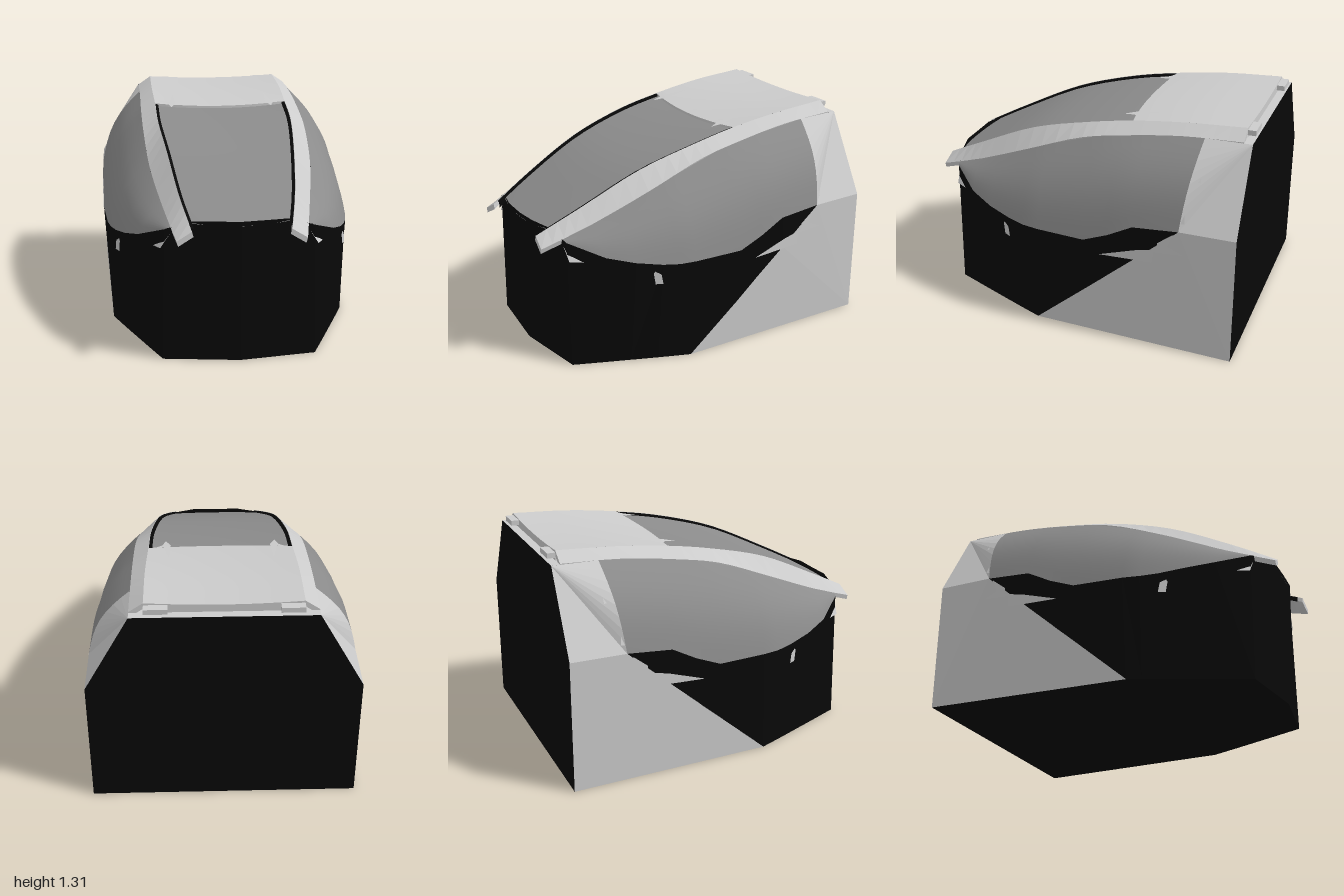
import * as THREE from 'three';

const V = (x, y, z) => new THREE.Vector3(x, y, z);
const material = (color, flat) => new THREE.MeshStandardMaterial({ color, flatShading: flat, side: THREE.DoubleSide });
const grey = material(0xcccccc, true);
const smoothGrey = material(0xcccccc, false);
const glass = material(0x8c8c8c, false);
const black = material(0x080808, true);

// Surface through equally long rows of points
function loft(rows) {
  const n = rows[0].length, index = [];
  for (let i = 0; i < rows.length - 1; i++)
    for (let j = 0; j < n - 1; j++) {
      const a = i * n + j, b = a + n;
      index.push(a, b, a + 1, b, b + 1, a + 1);
    }
  const g = new THREE.BufferGeometry().setFromPoints(rows.flat());
  g.setIndex(index);
  g.computeVertexNormals();
  return g;
}

// Fan of triangles from the first point
function fan(points) {
  const g = new THREE.BufferGeometry().setFromPoints(points);
  g.setIndex(points.slice(2).flatMap((_, i) => [0, i + 1, i + 2]));
  g.computeVertexNormals();
  return g;
}

// Point of a rail at a given z (z falls along the rail)
function atZ(curve, z) {
  let lo = 0, hi = 1;
  for (let i = 0; i < 30; i++) {
    const mid = (lo + hi) / 2;
    if (curve.getPoint(mid).z > z) lo = mid; else hi = mid;
  }
  return curve.getPoint(lo);
}

const curve = pts => new THREE.CatmullRomCurve3(pts.map(p => V(...p)));
const innerRail = curve([[0.275, 0.80, 0.99], [0.33, 0.93, 0.73], [0.38, 1.10, 0.36], [0.415, 1.20, 0],
  [0.42, 1.25, -0.27], [0.43, 1.29, -0.6], [0.43, 1.31, -0.95]]);
const outerRail = curve([[0.36, 0.75, 1], [0.415, 0.845, 0.73], [0.48, 1.00, 0.36], [0.505, 1.14, 0],
  [0.51, 1.195, -0.27], [0.51, 1.24, -0.6], [0.51, 1.255, -0.95]]);

// Hull: upper edge and lower edge, from the rear of the glass to the nose
const hullTop = [[0.77, 0.78, -0.67], [0.77, 0.76, -0.4], [0.767, 0.68, -0.25], [0.765, 0.62, -0.1],
  [0.74, 0.62, 0.2], [0.72, 0.62, 0.3], [0.69, 0.63, 0.4], [0.64, 0.66, 0.55], [0.565, 0.70, 0.7],
  [0.42, 0.78, 0.87], [0.28, 0.835, 0.91], [0.15, 0.84, 0.945], [0, 0.835, 0.95]].map(p => V(...p));
const hullBottom = [[0.762, 0.56, -0.42], [0.762, 0.56, -0.42], [0.75, 0.41, -0.25], [0.745, 0.28, -0.1],
  [0.72, 0, 0.22], [0.687, 0, 0.3], [0.645, 0, 0.4], [0.58, 0, 0.55], [0.515, 0, 0.7],
  [0.44, 0, 0.87], [0.29, 0, 0.89], [0.15, 0, 0.91], [0, 0, 0.93]].map(p => V(...p));

// Side glass: bulging sections from hull edge to pillar
function sideGlassRows() {
  return hullTop.slice(0, 10).map((a, i) => {
    const b = atZ(outerRail, i === 0 ? -0.73 : a.z + (i === 9 ? 0.01 : 0));
    const bulge = a.distanceTo(b) * 0.1;
    return Array.from({ length: 9 }, (_, j) => {
      const t = j / 8, s = Math.sin(t * Math.PI) * bulge;
      return a.clone().lerp(b, t).add(V(s * 0.87, s * 0.48, 0));
    });
  });
}

// Panel spanning the two inner rails, its front bowed forward
function spanRows(zFront, zBack, drop, rearBow) {
  return Array.from({ length: 13 }, (_, i) => {
    const k = i / 12, p = atZ(innerRail, zFront + (zBack - zFront) * k);
    return Array.from({ length: 13 }, (_, j) => {
      const t = j / 6 - 1, c = 1 - t * t;
      return V(p.x * t, p.y - drop - 0.016 * c, p.z + 0.04 * c * (1 + (rearBow - 1) * k));
    });
  });
}

export function createModel() {
  const model = new THREE.Group();
  const add = (parent, name, geometry, mat) => {
    const mesh = new THREE.Mesh(geometry, mat);
    mesh.name = name;
    parent.add(mesh);
    return mesh;
  };

  for (const side of [1, -1]) {
    const half = new THREE.Group();
    half.name = side > 0 ? 'leftSide' : 'rightSide';
    half.scale.x = side;
    model.add(half);

    add(half, 'lowerHull', loft([hullBottom, hullTop]), black);
    add(half, 'rearSidePanel', fan([V(0.77, 0, -1), V(0.77, 0.78, -1), hullTop[0], hullBottom[0], hullBottom[4]]), grey);

    const rows = sideGlassRows();
    add(half, 'sideGlass', loft(rows), glass);

    // Rear quarter between the glass and the back wall
    add(half, 'rearQuarter', fan([V(0.51, 1.25, -1), V(0.77, 0.78, -1), ...rows[0]]), grey);

    // Roof pillar as a bent flat bar
    const bar = Array.from({ length: 25 }, (_, i) => {
      const a = innerRail.getPoint(i / 24), b = outerRail.getPoint(i / 24);
      const low = V(-0.008, -0.03, 0);
      return [a, b, b.clone().add(low), a.clone().add(low), a];
    });
    add(half, 'pillar', loft(bar), grey);
    for (const end of [bar[0], bar[24]]) add(half, 'pillarEnd', fan(end.slice(0, 4)), grey);

    // Dark seal along the windscreen
    const seal = Array.from({ length: 16 }, (_, i) => {
      const p = atZ(innerRail, 0.96 - i * 0.083);
      return [p.clone().add(V(-0.002, -0.002, 0)), p.clone().add(V(-0.02, -0.008, 0)), p.clone().add(V(-0.02, -0.04, 0))];
    });
    add(half, 'windscreenSeal', loft(seal), black);

    // Jagged torn trim below the glass, front and rear
    const trim = (name, pts, xAt) => {
      const shape = new THREE.Shape(pts.map(p => new THREE.Vector2(...p)));
      const g = new THREE.ShapeGeometry(shape), pos = g.attributes.position;
      for (let i = 0; i < pos.count; i++) {
        const z = pos.getX(i), y = pos.getY(i);
        pos.setXYZ(i, xAt(z, y), y, z);
      }
      g.computeVertexNormals();
      add(half, name, g, grey);
    };
    trim('frontTrim', [[0.88, 0.78], [0.87, 0.67], [0.72, 0.66], [0.68, 0.6], [0.55, 0.58], [0.45, 0.58], [0.44, 0.51],
      [0.4, 0.51], [0.41, 0.57], [0.47, 0.61], [0.59, 0.62], [0.63, 0.66], [0.72, 0.69], [0.8, 0.73]],
    (z, y) => 0.445 + (0.87 - z) * 0.53 - Math.max(0, y - 0.67) * 0.6);
    trim('rearTrim', [[-0.2, 0.55], [-0.52, 0.56], [-0.53, 0.63], [-0.7, 0.64], [-0.61, 0.68], [-0.64, 0.76],
      [-0.55, 0.69], [-0.55, 0.65], [-0.42, 0.62]], () => 0.775);
    trim('quarterTrim', [[-0.65, 0.82], [-0.7, 0.83], [-0.69, 0.92]], (z, y) => 0.775 - (y - 0.78) * 0.35);
    trim('upperQuarterTrim', [[-0.73, 1.05], [-0.76, 1.05], [-0.76, 1.09]], (z, y) => 0.67 - (y - 1.05) * 0.6);

    // Spiked bracket at the front corner of the roof
    add(half, 'roofBracket', fan([[0.33, -0.28], [0.3, -0.44], [0.29, -0.26], [0.32, -0.19], [0.34, -0.26], [0.41, -0.32], [0.33, -0.28]]
      .map(([x, z]) => V(x, atZ(innerRail, z).y + 0.006, z))), grey);

    // Rear roof catch
    const latch = add(half, 'roofCatch', new THREE.BoxGeometry(0.13, 0.03, 0.05), grey);
    latch.position.set(0.365, 1.282, -0.972);
  }

  add(model, 'windscreen', loft(spanRows(0.91, -0.32, 0.015, 1)), glass);

  // Roof plate with front and rear lips
  const roof = spanRows(-0.28, -0.95, 0, 0);
  add(model, 'roofPlate', loft(roof), smoothGrey);
  for (const [row, depth] of [[roof[0], 0.022], [roof[12], 0.06]])
    add(model, 'roofLip', loft([row, row.map(p => V(p.x, p.y - depth, p.z))]), grey);
  add(model, 'rearLedge', fan([V(-0.51, 1.25, -1), V(0.51, 1.25, -1), V(0.51, 1.25, -0.9), V(-0.51, 1.25, -0.9)]), grey);

  // Closed back wall and floor
  add(model, 'backWall', fan([V(-0.77, 0, -1), V(-0.77, 0.78, -1), V(-0.51, 1.25, -1),
    V(0.51, 1.25, -1), V(0.77, 0.78, -1), V(0.77, 0, -1)]), black);
  const edge = hullBottom.slice(4);
  add(model, 'floor', fan([V(-0.77, 0, -1), V(0.77, 0, -1), ...edge,
    ...edge.slice(0, -1).reverse().map(p => V(-p.x, p.y, p.z))]), black);

  return model;
}
